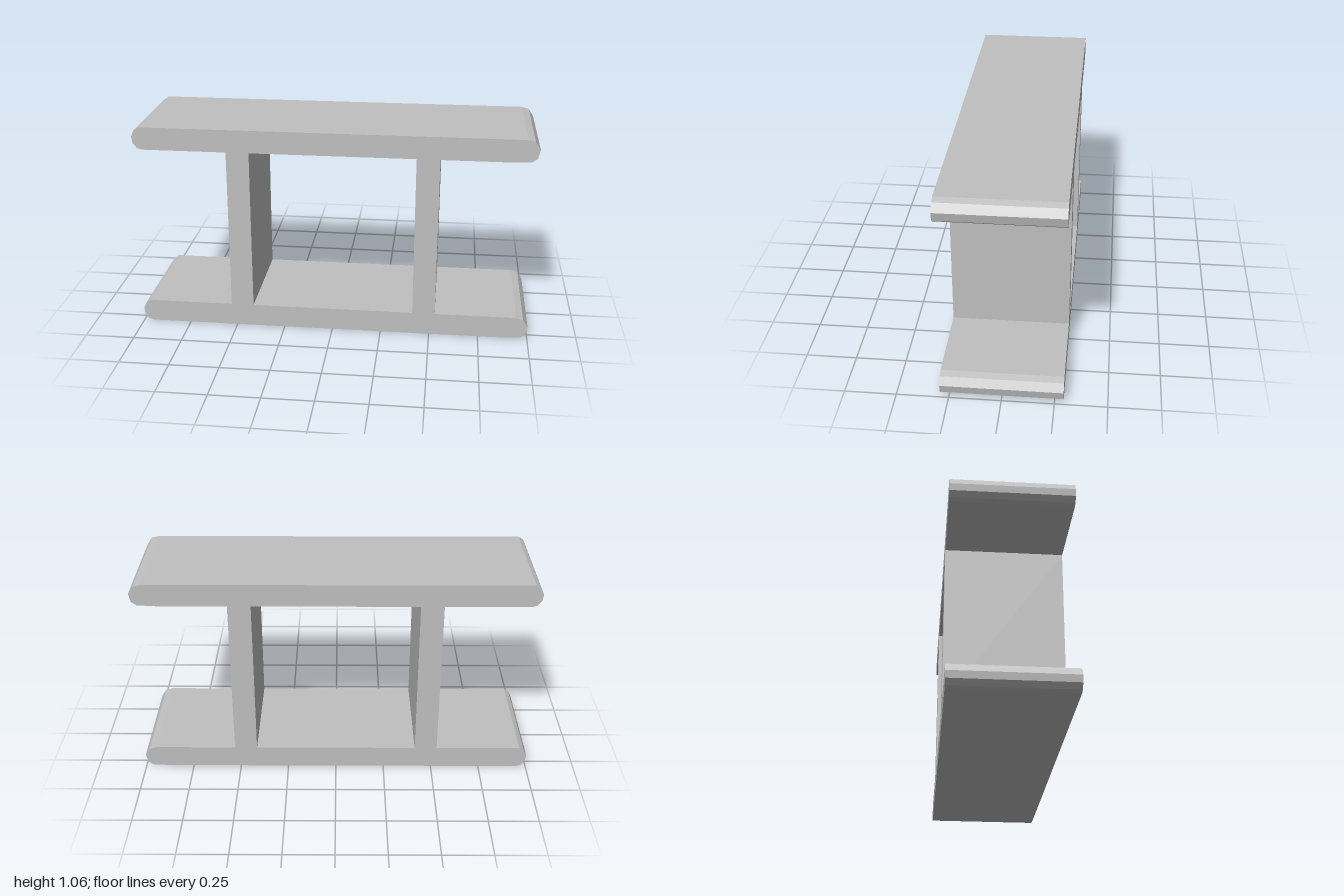
import * as THREE from 'three';

const DEPTH = 0.585;
const HEIGHT = 1.06;
const THICK = 0.115;

export function createModel() {
  const group = new THREE.Group();
  const grey = new THREE.MeshStandardMaterial({ color: 0xc0c0c0, flatShading: true });
  grey.name = 'plain grey';

  // Cross-section of a horizontal plate with faceted rounded ends
  const profile = new THREE.Shape([
    [-0.95, 0], [0.87, 0], [0.965, 0.005], [0.99, 0.023], [1, 0.067],
    [0.975, 0.105], [0.94, THICK], [-0.96, THICK], [-0.985, 0.1],
    [-1, 0.067], [-0.995, 0.033], [-0.975, 0.008],
  ].map(([x, y]) => new THREE.Vector2(x, y)));
  const plate = new THREE.ExtrudeGeometry(profile, { depth: DEPTH, bevelEnabled: false });
  plate.translate(0, 0, -DEPTH / 2);

  // Upper and lower plates
  for (const [name, y] of [['lowerPlate', 0], ['upperPlate', HEIGHT - THICK]]) {
    const mesh = new THREE.Mesh(plate, grey);
    mesh.name = name;
    mesh.position.y = y;
    group.add(mesh);
  }

  // Upright webs joining the plates
  const web = new THREE.BoxGeometry(0.115, HEIGHT - 2 * THICK, DEPTH);
  for (const [name, side] of [['rightWeb', -1], ['leftWeb', 1]]) {
    const mesh = new THREE.Mesh(web, grey);
    mesh.name = name;
    mesh.position.set(side * 0.47, HEIGHT / 2, 0);
    group.add(mesh);
  }

  return group;
}
